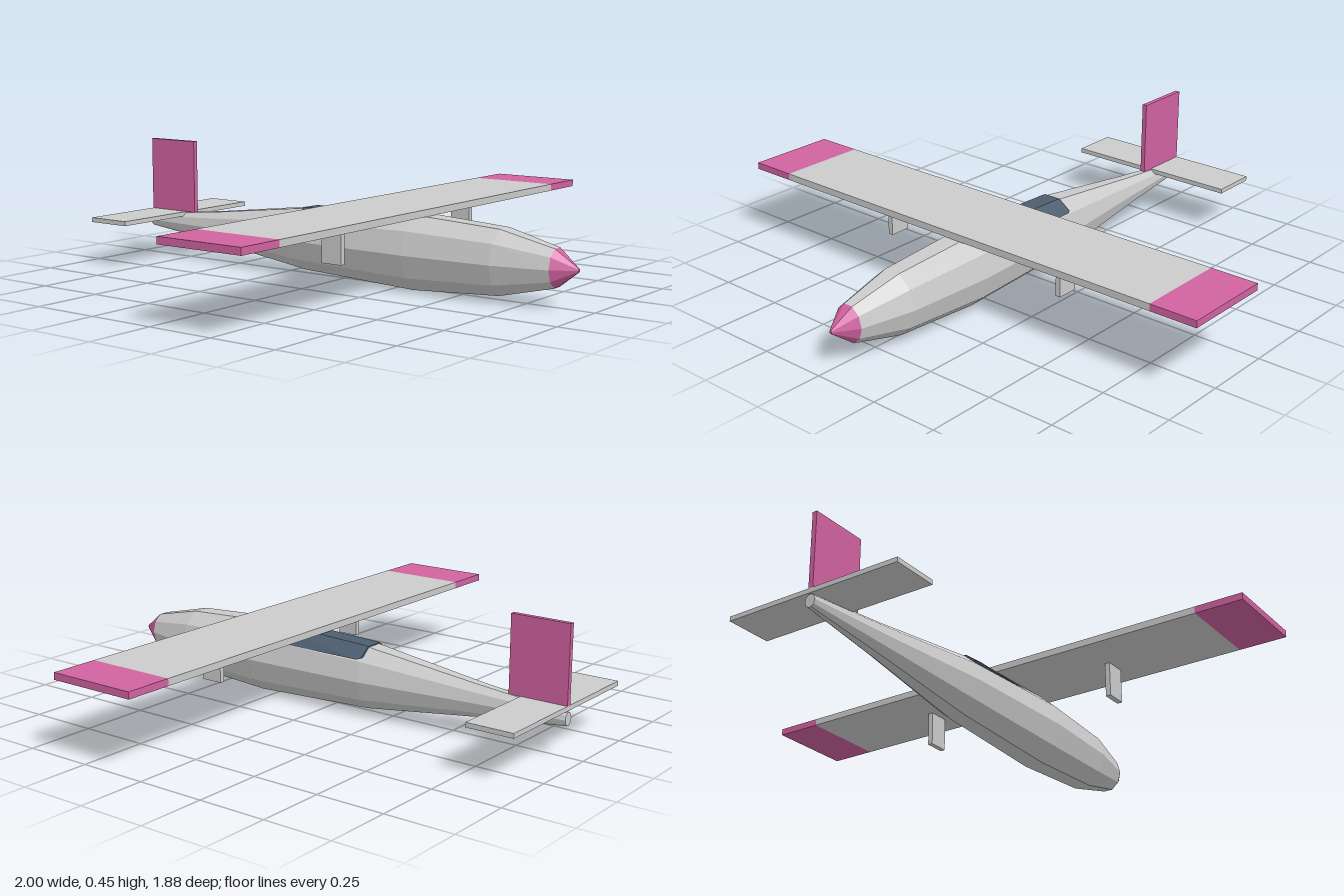
import * as THREE from 'three';

const paint = (name, color, extra = {}) =>
  Object.assign(new THREE.MeshStandardMaterial({ color, flatShading: true, ...extra }), { name });

// Skin a list of equal-length rings (ordered front to back, counter-clockwise seen from the front)
function loft(rings) {
  const n = rings[0].length, pos = rings.flat(2), index = [];
  for (let s = 0; s < rings.length - 1; s++) {
    for (let i = 0; i < n; i++) {
      const a = s * n + i, b = s * n + (i + 1) % n;
      index.push(a, a + n, b, b, a + n, b + n);
    }
  }
  const last = (rings.length - 1) * n;
  for (let i = 1; i < n - 1; i++) {
    index.push(0, i, i + 1);
    index.push(last, last + i + 1, last + i);
  }
  const geo = new THREE.BufferGeometry();
  geo.setAttribute('position', new THREE.Float32BufferAttribute(pos, 3));
  geo.setIndex(index);
  const flat = geo.toNonIndexed();
  flat.computeVertexNormals();
  return flat;
}

// Ten-sided fuselage section: z and vertical radius
const section = ([z, r]) => Array.from({ length: 10 }, (_, i) => {
  const a = i * Math.PI / 5;
  return [0.84 * r * Math.cos(a), 0.133 + r * Math.sin(a), z];
});

// Canopy section: z, half width, bottom and top height
const canopySection = ([z, w, bottom, top]) =>
  [[w, bottom, z], [0.034, top, z], [-0.034, top, z], [-w, bottom, z]];

export function createModel() {
  const model = new THREE.Group();
  model.name = 'aircraft';
  const grey = paint('light grey', 0xcbcbcb);
  const pink = paint('magenta', 0xd062a0);
  const glass = paint('dark glass', 0x4c5d6e);

  const add = (name, geo, mat) => {
    const mesh = new THREE.Mesh(geo, mat);
    mesh.name = name;
    model.add(mesh);
  };
  // Box given by its limits on each axis
  const box = (name, mat, [x0, x1], [y0, y1], [z0, z1]) => {
    const geo = new THREE.BoxGeometry(x1 - x0, y1 - y0, z1 - z0);
    geo.translate((x0 + x1) / 2, (y0 + y1) / 2, (z0 + z1) / 2);
    add(name, geo, mat);
  };

  // Body
  const stations = [[0.86, 0.069], [0.66, 0.118], [0.32, 0.138], [-0.16, 0.118], [-0.6, 0.061], [-0.94, 0.024]];
  add('fuselage', loft(stations.map(section)), grey);
  add('noseCone', loft([[0.94, 0.006], [0.86, 0.069]].map(section)), pink);
  add('canopy', loft([
    [0.32, 0.088, 0.211, 0.266], [-0.15, 0.088, 0.211, 0.25], [-0.163, 0.08, 0.215, 0.248],
  ].map(canopySection)), glass);

  // Wing with coloured tips and a pylon on each side
  const wingY = [0.262, 0.287], wingZ = [0.038, 0.375];
  box('wing', grey, [-0.825, 0.825], wingY, wingZ);
  for (const [side, s] of [['left', 1], ['right', -1]]) {
    const span = (a, b) => (s > 0 ? [a, b] : [-b, -a]);
    box(side + 'WingTip', pink, span(0.825, 1), wingY, wingZ);
    box(side + 'Pylon', grey, span(0.381, 0.4), [0.136, 0.262], [0.203, 0.283]);
  }

  // Tail
  box('tailplane', grey, [-0.34, 0.34], [0.161, 0.178], [-0.94, -0.765]);
  box('fin', pink, [-0.009, 0.009], [0.177, 0.453], [-0.94, -0.72]);

  return model;
}
